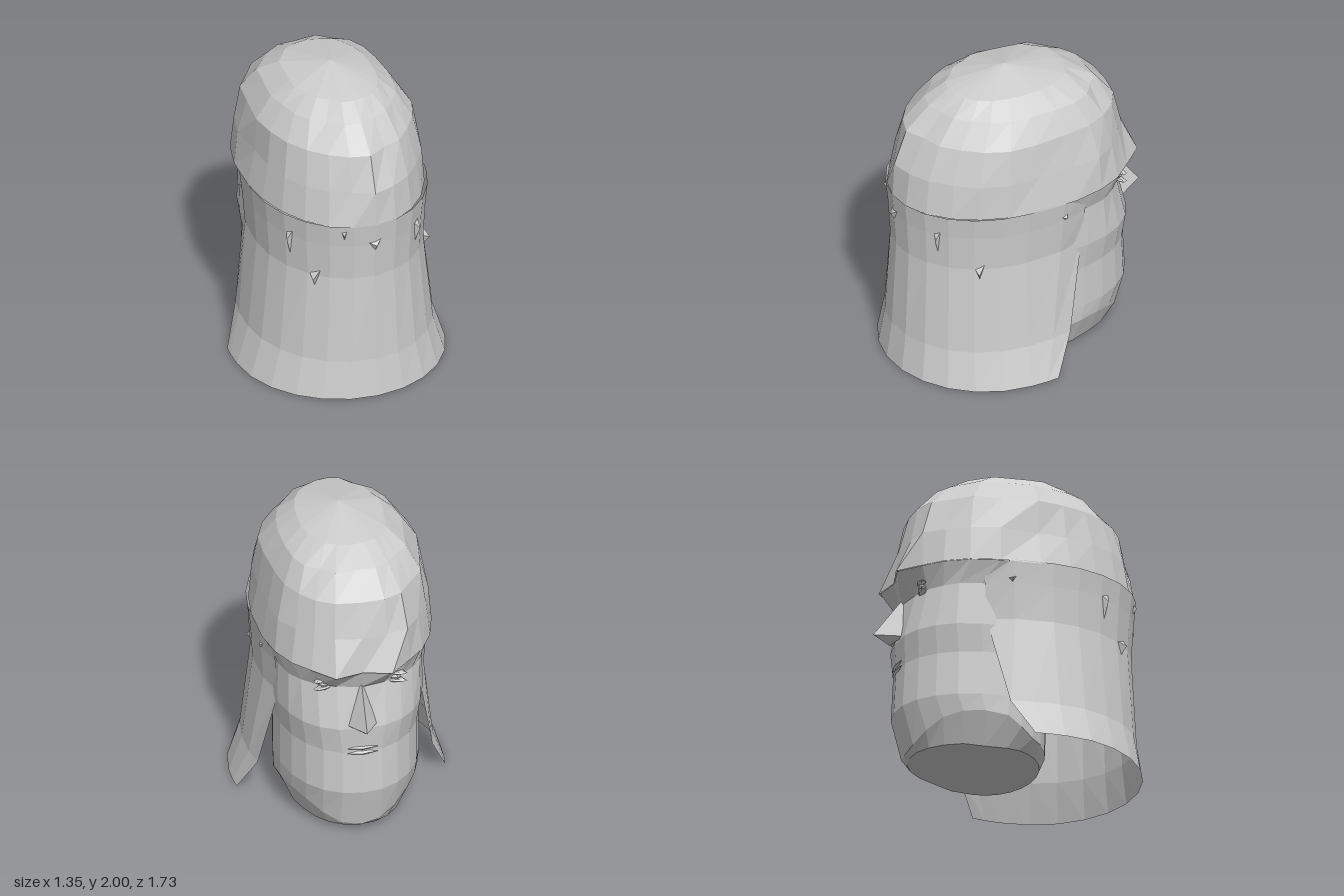
import * as THREE from 'three';

const SIDES = 24;
const grey = new THREE.MeshStandardMaterial({ color: 0xcccccc, side: THREE.DoubleSide });
grey.name = 'plaster grey';
grey.flatShading = true;

// Point on an egg-shaped ring; angle 0 is +z, the face is at -z
function ringPoint([y, rx, zFront, zBack, zMid, power = 2.4], a) {
  const s = Math.sin(a), c = Math.cos(a);
  const p = c < 0 ? 2 / power : 1;
  const x = Math.sign(s) * rx * Math.pow(Math.abs(s), p);
  const z = c < 0 ? zMid - (zMid - zFront) * Math.pow(-c, p) : zMid + (zBack - zMid) * c;
  return new THREE.Vector3(x, y, z);
}

// Skin over rows of points, listed from bottom to top
function skin(rows) {
  const pos = [], index = [], n = rows[0].length;
  rows.forEach(r => r.forEach(p => pos.push(p.x, p.y, p.z)));
  for (let i = 0; i < rows.length - 1; i++) {
    for (let j = 0; j < n - 1; j++) {
      const a = i * n + j, b = a + 1, d = a + n, c = d + 1;
      index.push(a, b, c, a, c, d);
    }
  }
  const g = new THREE.BufferGeometry();
  g.setAttribute('position', new THREE.Float32BufferAttribute(pos, 3));
  g.setIndex(index);
  const flat = g.toNonIndexed();
  flat.computeVertexNormals();
  return flat;
}

function closedRows(rings, adjust) {
  return rings.map((ring, i) => Array.from({ length: SIDES + 1 }, (_, j) => {
    const k = j % SIDES;
    return adjust(ringPoint(ring, (k / SIDES) * Math.PI * 2), i, k);
  }));
}

// Faceted pyramid from a base triangle to a tip
function spike([a, b, c], tip) {
  const pts = [...a, ...b, ...tip, ...b, ...c, ...tip, ...c, ...a, ...tip];
  const g = new THREE.BufferGeometry();
  g.setAttribute('position', new THREE.Float32BufferAttribute(pts, 3));
  g.computeVertexNormals();
  return g;
}

export function createModel() {
  const model = new THREE.Group();
  const add = (name, geometry) => {
    const m = new THREE.Mesh(geometry, grey);
    m.name = name;
    model.add(m);
    return m;
  };

  // Hair cap with uneven locks: y, half width, front z, back z, widest z
  const cap = [
    [1.22, 0.555, -0.73, 0.825, 0.06],
    [1.45, 0.535, -0.72, 0.81, 0.06],
    [1.68, 0.495, -0.66, 0.73, 0.06],
    [1.83, 0.405, -0.52, 0.575, 0.06],
    [1.92, 0.285, -0.34, 0.445, 0.06],
    [2.0, 0, 0.06, 0.06, 0.06],
  ];
  let seed = 7;
  const rand = () => (seed = (seed * 16807) % 2147483647) / 2147483647;
  const wobble = cap.map(() => Array.from({ length: SIDES }, () => 0.935 + 0.075 * rand()));
  add('hairCap', skin(closedRows(cap, (p, i, k) => {
    if (i > 0 && i < 5) { p.x *= wobble[i][k]; p.z *= wobble[i][k]; }
    if (i === 0 && (k === 11 || k === 13)) p.z -= 0.065; // brow bumps
    return p;
  })));

  // Long hair behind the face, open at the front and flared at the hem;
  // the last value is the z of its front edge
  const drape = [
    [0, 0.675, -0.51, 0.865, 0.18, 2.4, -0.01],
    [0.25, 0.595, -0.50, 0.83, 0.17, 2.4, -0.14],
    [0.84, 0.53, -0.5, 0.80, 0.15, 2.4, -0.265],
    [1.08, 0.545, -0.55, 0.815, 0.14, 2.4, -0.28],
    [1.23, 0.56, -0.6, 0.83, 0.14, 2.4, -0.29],
  ];
  add('longHair', skin(drape.map(r => {
    const t = (r[4] - r[6]) / (r[4] - r[2]);
    const end = Math.PI / 2 + Math.asin(Math.pow(t, 1.2));
    const angles = Array.from({ length: 13 }, (_, j) => (j - 6) * Math.PI / 12);
    const mid = (Math.PI / 2 + end) / 2;
    return [-end, -mid, ...angles, mid, end].map(a => ringPoint(r, a));
  })));

  // Face and jaw; the top row slopes out to the hair cap under the brow
  const face = [
    [0.03, 0.36, -0.63, 0.20, -0.1, 2.1],
    [0.04, 0.45, -0.66, 0.23, -0.12, 2.1],
    [0.33, 0.455, -0.73, 0.24, -0.12, 2.1],
    [0.62, 0.455, -0.715, 0.25, -0.12, 2.1],
    [0.80, 0.475, -0.725, 0.25, -0.12, 2.3],
    [1.08, 0.47, -0.675, 0.25, -0.12],
    [1.222, 0.545, -0.725, 0.25, 0.06],
  ];
  // Rise of the jaw line from the chin round to the back
  const jawRise = [0.01, 0.03, 0.09, 0.15, 0.18, 0.18, 0.16, 0.1];
  const faceRows = closedRows(face, (p, i, k) => {
    const off = Math.abs(k - 12);
    if (i === 1) p.y += jawRise[off] ?? 0.05;
    if (i === 0 && off > 4) p.y = 0.015;
    if (i === 5 && off >= 1 && off <= 3) p.z += 0.02; // eye sockets
    if (i === 6 && off === 1) p.z -= 0.06;            // brow bumps
    return p;
  });
  add('face', skin(faceRows));

  // Flat underside of the jaw
  const under = faceRows[0].map(() => new THREE.Vector3(0, 0.035, -0.2));
  add('jawUnderside', skin([under, faceRows[0]]));

  // Nose with a closed base
  const bridge = [0, 1.12, -0.67], tip = [0, 0.85, -0.865];
  const left = [0.1, 0.82, -0.69], right = [-0.1, 0.82, -0.69];
  add('nose', spike([bridge, left, right], tip));
  add('noseBase', spike([left, [0, 0.79, -0.76], right], tip));

  // Lips
  for (const s of [1, -1]) {
    const lip = add(s > 0 ? 'upperLip' : 'lowerLip', new THREE.OctahedronGeometry(1));
    lip.scale.set(0.1, 0.02, 0.018);
    lip.position.set(0, 0.635 + s * 0.018, -0.71);
  }

  // Eyes with lids
  for (const s of [1, -1]) {
    const eye = new THREE.Group();
    eye.name = s > 0 ? 'leftEye' : 'rightEye';
    const part = (name, w, h, d, y) => {
      const m = new THREE.Mesh(new THREE.SphereGeometry(1, 7, 4), grey);
      m.name = name;
      m.scale.set(w, h, d);
      m.position.y = y;
      eye.add(m);
    };
    part('eyeball', 0.045, 0.025, 0.03, 0);
    part('upperLid', 0.085, 0.014, 0.035, 0.028);
    part('lowerLid', 0.085, 0.014, 0.03, -0.028);
    eye.position.set(s * 0.22, 1.1, -0.61);
    eye.rotation.y = s * 0.4;
    model.add(eye);
  }

  // Small stray tufts on the long hair: angle, height, half width, drop
  const tufts = [[0, 1.11, 0.08, 0.1], [-0.36, 1.2, 0.04, 0.1], [0.66, 1.1, 0.03, 0.17],
    [-1.0, 1.12, 0.04, 0.2], [-0.7, 0.85, 0.04, 0.09], [1.1, 0.84, 0.03, 0.08],
    [1.9, 1.12, 0.05, 0.05], [-1.9, 1.12, 0.05, 0.05]];
  for (const [a, y, w, drop] of tufts) {
    const ring = [y, 0.535, -0.52, 0.805, 0.15];
    const at = (da, dy, out) => {
      const p = ringPoint(ring, a + da);
      return [p.x + Math.sin(a) * out, y + dy, p.z + Math.cos(a) * out];
    };
    add('hairTuft', spike([at(-w * 1.6, 0, -0.01), at(0, -drop, -0.01), at(w * 1.6, 0.03, -0.01)],
      at(0, -drop * 0.3, 0.035)));
  }
  return model;
}
